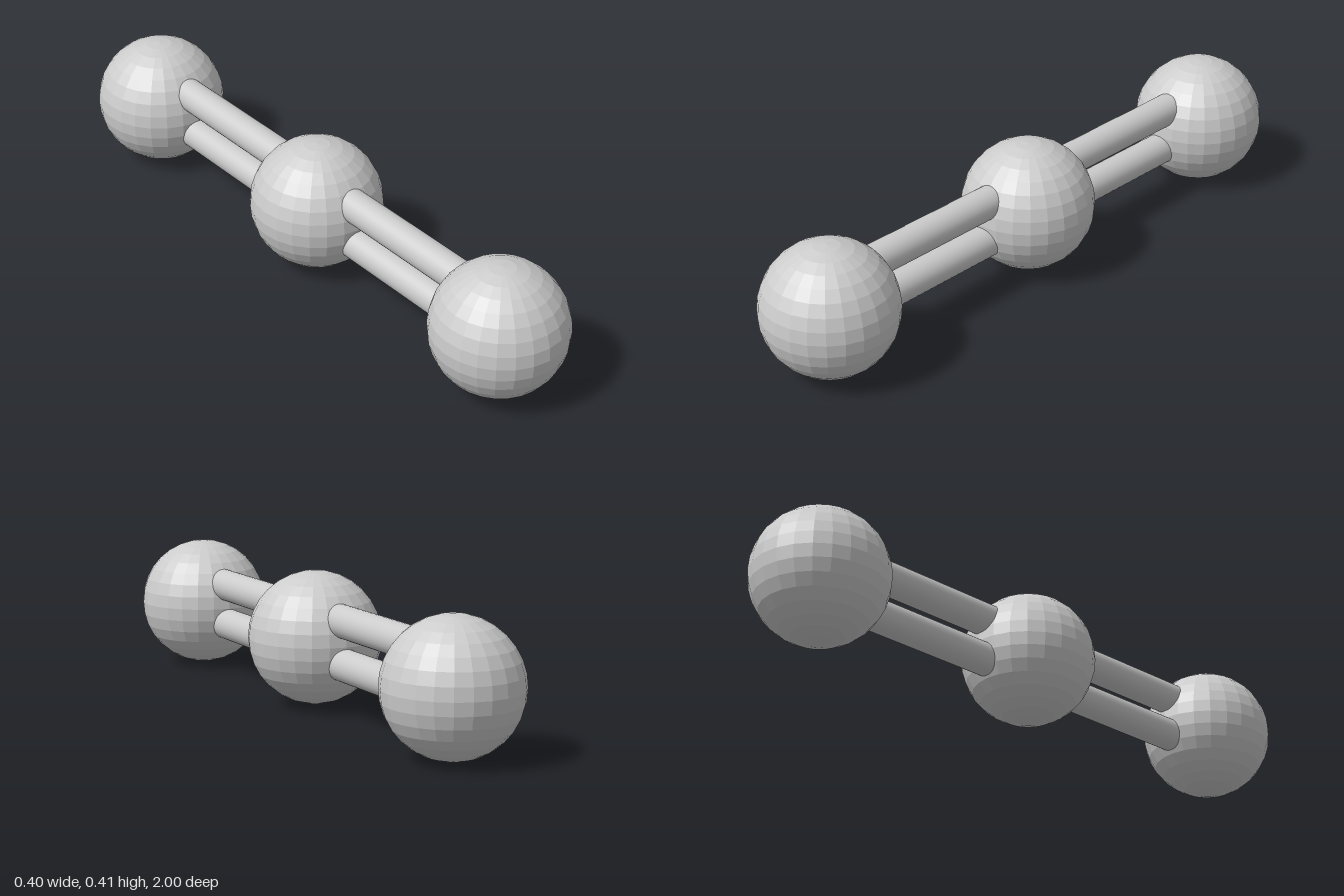
import * as THREE from 'three';

export function createModel() {
  const model = new THREE.Group();
  const faceted = new THREE.MeshStandardMaterial({ color: 0xcccccc, flatShading: true });
  const smooth = new THREE.MeshStandardMaterial({ color: 0xcccccc });

  // Three balls in a row along z, at slightly different heights
  const ballGeometry = new THREE.SphereGeometry(0.2, 24, 16);
  const addBall = (name, y, z) => {
    const ball = new THREE.Mesh(ballGeometry, faceted);
    ball.name = name;
    ball.position.set(0, y, z);
    model.add(ball);
  };
  addBall('frontBall', 0.204, 0.8);
  addBall('middleBall', 0.209, 0);
  addBall('backBall', 0.2, -0.8);

  // Paired rods, one above the other, with ends hidden inside the balls
  const rodGeometry = new THREE.CylinderGeometry(0.049, 0.049, 0.7, 32).rotateX(Math.PI / 2);
  const addRod = (name, y, z) => {
    const rod = new THREE.Mesh(rodGeometry, smooth);
    rod.name = name;
    rod.position.set(0, y, z);
    model.add(rod);
  };
  for (const [end, z, lower, upper] of [['front', 0.4, 0.153, 0.278], ['back', -0.4, 0.154, 0.282]]) {
    addRod(end + 'LowerRod', lower, z);
    addRod(end + 'UpperRod', upper, z);
  }

  return model;
}
